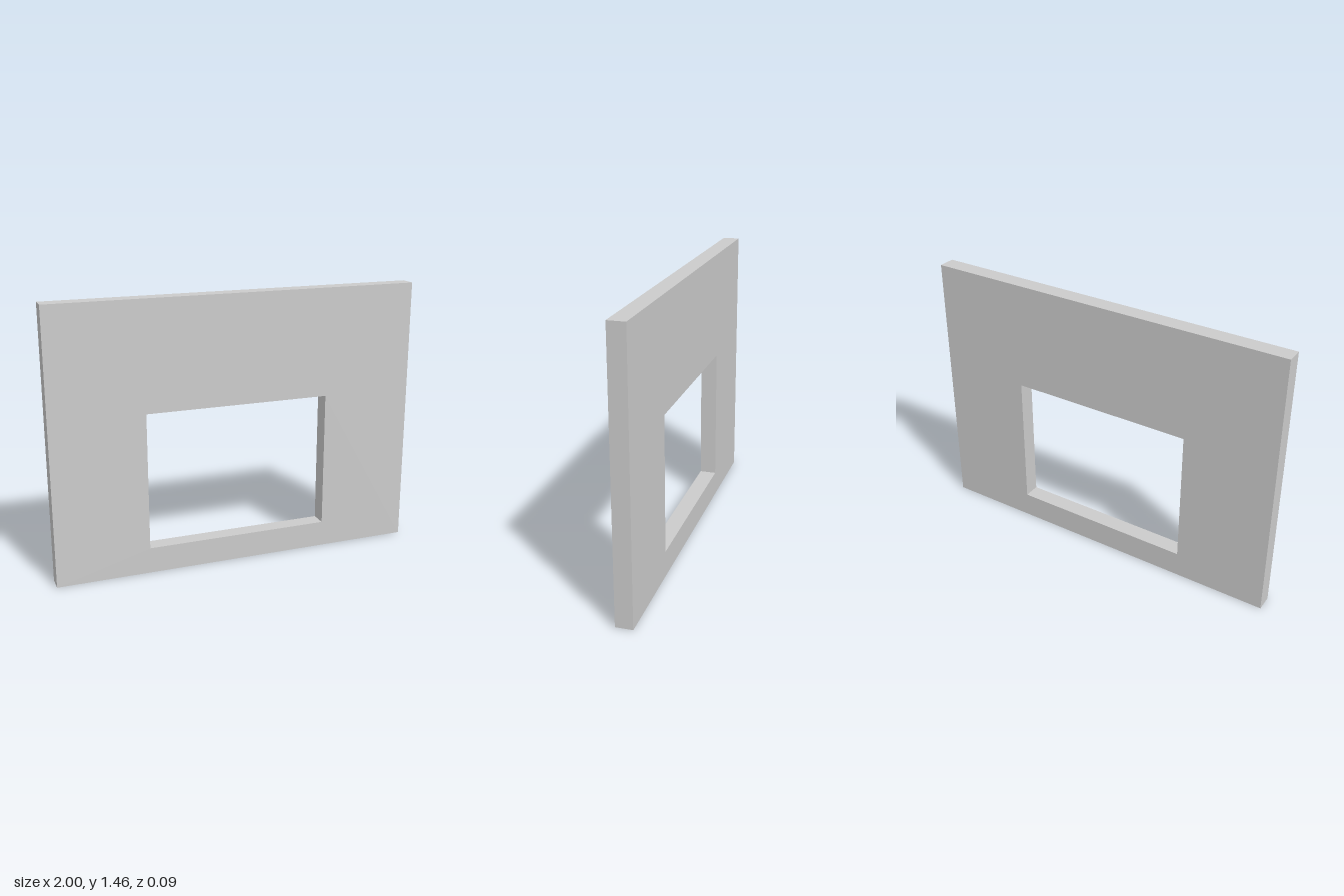
import * as THREE from 'three';

const WIDTH = 2, HEIGHT = 1.463, DEPTH = 0.09;
const OPENING = { left: -0.5, right: 0.5, bottom: 0.14, top: 0.877 };

// Closed rectangle traced on a Shape or Path
function rectangle(path, x0, y0, x1, y1) {
  path.moveTo(x0, y0);
  path.lineTo(x1, y0);
  path.lineTo(x1, y1);
  path.lineTo(x0, y1);
  path.closePath();
  return path;
}

export function createModel() {
  const group = new THREE.Group();
  group.name = 'wallWithWindowOpening';

  // Wall panel with a rectangular window opening
  const outline = rectangle(new THREE.Shape(), -WIDTH / 2, 0, WIDTH / 2, HEIGHT);
  outline.holes.push(
    rectangle(new THREE.Path(), OPENING.left, OPENING.bottom, OPENING.right, OPENING.top)
  );
  const geometry = new THREE.ExtrudeGeometry(outline, { depth: DEPTH, bevelEnabled: false });
  geometry.translate(0, 0, -DEPTH / 2);

  const wall = new THREE.Mesh(
    geometry,
    new THREE.MeshStandardMaterial({ color: 0xcccccc, flatShading: true })
  );
  wall.name = 'wallPanel';
  group.add(wall);

  return group;
}
